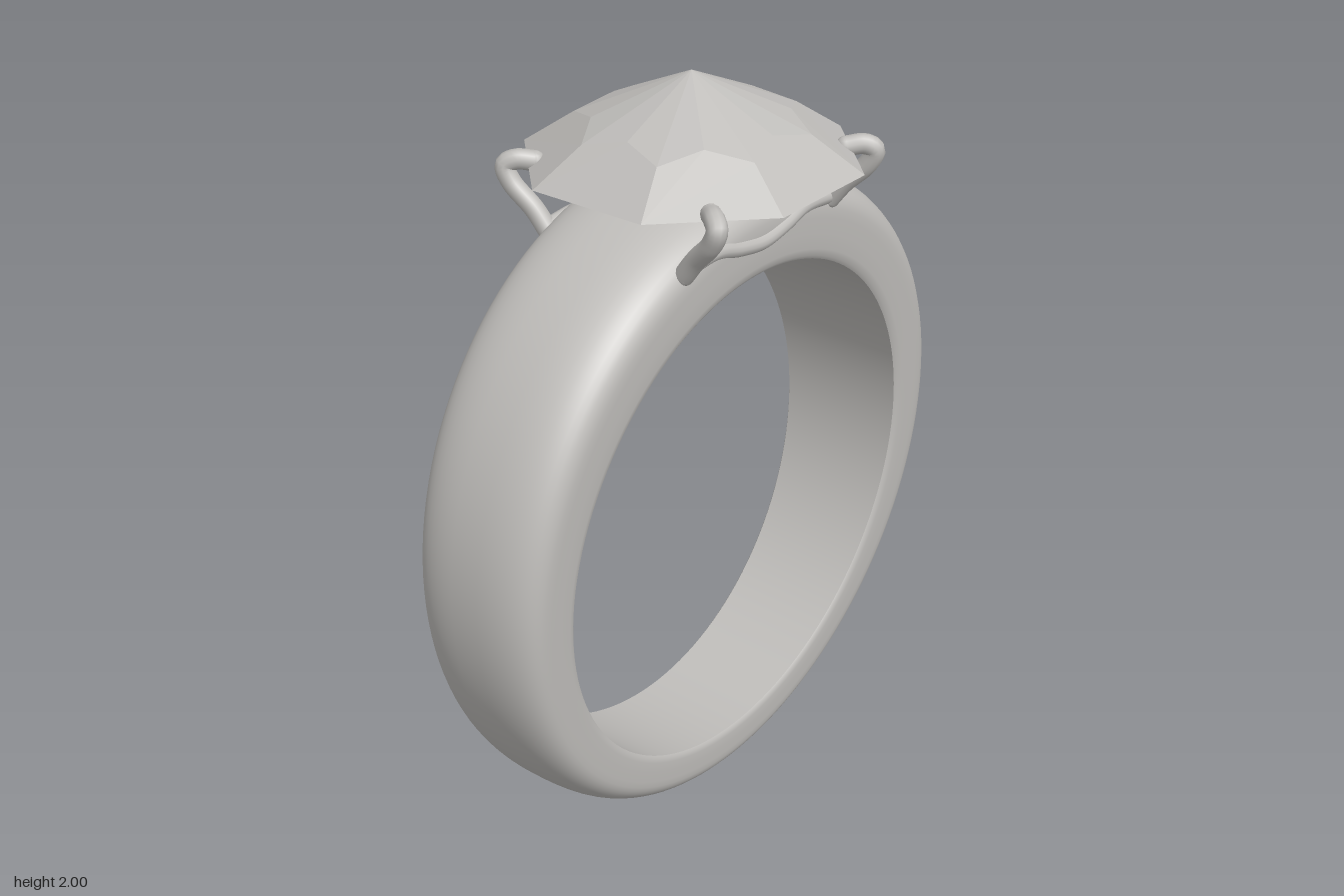
import * as THREE from 'three';

const metal = new THREE.MeshStandardMaterial({ color: 0xbfbdba });
metal.name = 'silver grey';

function add(parent, name, geometry) {
  const mesh = new THREE.Mesh(geometry, metal);
  mesh.name = name;
  parent.add(mesh);
  return mesh;
}

// Sweeps a profile of [u, w] points round the finger:
// u runs from the inner circle (0) to the outer one (1), w is a share of the half width.
function bandGeometry(profile) {
  const steps = 128, n = profile.length, pos = [], index = [];
  for (let i = 0; i < steps; i++) {
    const t = (i / steps) * Math.PI * 2;
    for (const [u, w] of profile) {
      const radius = THREE.MathUtils.lerp(0.6875, 0.875, u);
      const centre = THREE.MathUtils.lerp(0.8325, 0.875, u);
      const y = centre + radius * Math.sin(t);
      pos.push(radius * Math.cos(t), y, w * (0.148 + 0.048 * y)); // wider towards the top
    }
    const a = i * n, b = ((i + 1) % steps) * n;
    for (let j = 0; j < n - 1; j++) {
      index.push(a + j, a + j + 1, b + j, a + j + 1, b + j + 1, b + j);
    }
  }
  const g = new THREE.BufferGeometry();
  g.setAttribute('position', new THREE.Float32BufferAttribute(pos, 3));
  g.setIndex(index);
  g.computeVertexNormals();
  return g;
}

// Faceted crown: octagonal girdle, star-shaped ring of sixteen points, apex, flat base
function gemGeometry() {
  const at = (r, y, k) => {
    const a = (k * Math.PI) / 8;
    return [r * Math.sin(a), y, r * Math.cos(a)];
  };
  const girdle = (k) => at(0.433, 1.775, k);
  const star = (k) => (k % 2 ? at(0.3, 1.865, k) : at(0.245, 1.89, k));
  const apex = [0, 2, 0], base = [0, 1.775, 0], pos = [];
  const tri = (...corners) => corners.forEach((c) => pos.push(...c));
  for (let k = 0; k < 16; k += 2) {
    const l = k - 1, r = k + 1;
    tri(girdle(l), girdle(r), star(r));
    tri(girdle(l), star(r), star(k));
    tri(girdle(l), star(k), star(l));
    tri(star(l), star(k), apex);
    tri(star(k), star(r), apex);
    tri(girdle(r), girdle(l), base);
  }
  const g = new THREE.BufferGeometry();
  g.setAttribute('position', new THREE.Float32BufferAttribute(pos, 3));
  g.computeVertexNormals(); // unshared corners keep the facets flat
  return g;
}

const curve = (points) =>
  new THREE.CatmullRomCurve3(points.map((p) => new THREE.Vector3(...p)));

export function createModel() {
  const ring = new THREE.Group();
  ring.name = 'ring';

  // Band: flat sides, small inner bevel and a domed outer face
  const outer = [[0, 0.95], [0.04, 0.98], [0.12, 1], [0.3, 1]];
  for (let i = 0; i <= 24; i++) {
    const a = (i / 24) * Math.PI, c = Math.cos(a), e = 2 / 2.6;
    const w = Math.sign(c) * Math.pow(Math.abs(c), e);
    outer.push([0.48 + 0.52 * Math.pow(Math.abs(Math.sin(a)), e), w]);
  }
  outer.push([0.3, -1], [0.12, -1], [0.04, -0.98], [0, -0.95]);
  add(ring, 'bandOuter', bandGeometry(outer));
  add(ring, 'bandInner', bandGeometry([[0, -0.95], [0, 0.95]]));

  add(ring, 'gem', gemGeometry());

  // Four hooked prongs
  for (const sx of [-1, 1]) {
    for (const sz of [-1, 1]) {
      const prong = new THREE.Group();
      prong.name = 'prong';
      const path = curve([
        [0.297, 1.625, 0.212], [0.303, 1.675, 0.25], [0.318, 1.735, 0.308],
        [0.32, 1.775, 0.325], [0.304, 1.79, 0.305], [0.272, 1.785, 0.27],
      ].map(([x, y, z]) => [x * sx, y, z * sz]));
      add(prong, 'prongStem', new THREE.TubeGeometry(path, 32, 0.026, 12));
      for (const end of [0, 1]) {
        const cap = add(prong, 'prongEnd', new THREE.SphereGeometry(0.026, 12, 8));
        cap.position.copy(path.getPoint(end));
      }
      ring.add(prong);
    }
  }

  // Sagging wires joining the prongs on the front and back
  for (const sz of [-1, 1]) {
    const path = curve([
      [-0.3, 1.635, 0.213], [-0.18, 1.642, 0.212], [-0.09, 1.622, 0.216], [0, 1.61, 0.218],
      [0.09, 1.622, 0.216], [0.18, 1.642, 0.212], [0.3, 1.635, 0.213],
    ].map(([x, y, z]) => [x, y, z * sz]));
    add(ring, 'wire', new THREE.TubeGeometry(path, 48, 0.021, 12));
  }
  return ring;
}
